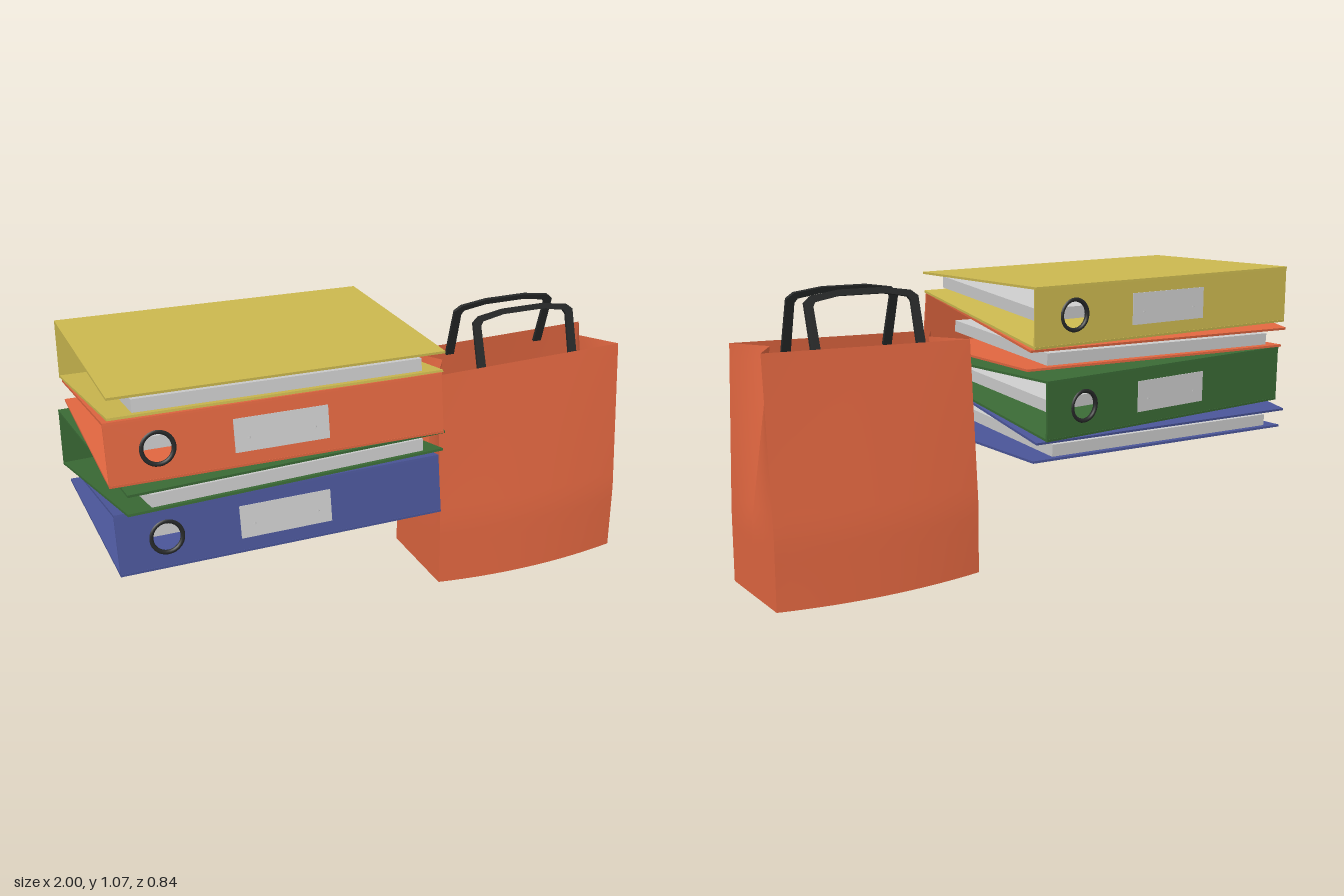
import * as THREE from 'three';

const mat = (color, side = THREE.FrontSide) => new THREE.MeshStandardMaterial({ color, side });
const GREY = mat(0xcccccc);
const BLACK = mat(0x262828);
const LEN = 1.12; // binder length
const T = 0.008;  // board thickness

function add(parent, name, geo, material) {
  const m = new THREE.Mesh(geo, material);
  m.name = name;
  parent.add(m);
  return m;
}

// Flat board running between two (z, y) points
function plank(parent, name, [z1, y1], [z2, y2], thick, length, material) {
  const dz = z1 - z2, dy = y1 - y2;
  const m = add(parent, name, new THREE.BoxGeometry(length, thick, Math.hypot(dz, dy)), material);
  m.position.set(0, (y1 + y2) / 2, (z1 + z2) / 2);
  m.rotation.x = Math.atan2(-dy, dz);
  return m;
}

// Ring binder lying on its back cover, spine towards +z
function makeBinder(name, color) {
  const g = new THREE.Group();
  g.name = name;
  const board = mat(color);
  plank(g, 'bottomCover', [0.375, T / 2], [-0.375, T / 2], T, LEN, board);
  plank(g, 'topCover', [0.347, 0.2], [-0.395, 0.07], T, LEN, board);
  plank(g, 'paperStack', [0.26, 0.078], [-0.375, 0.035], 0.042, 0.965, GREY);

  // Tilted spine with finger hole, label and rings
  const spine = new THREE.Group();
  spine.name = 'spine';
  spine.position.set(0, 0, 0.375);
  spine.rotation.x = -0.149;
  g.add(spine);
  const h = 0.203, holeX = -0.4, holeY = 0.103;
  const s = new THREE.Shape();
  s.moveTo(-LEN / 2, 0).lineTo(LEN / 2, 0).lineTo(LEN / 2, h).lineTo(-LEN / 2, h).closePath();
  s.holes.push(new THREE.Path().absarc(holeX, holeY, 0.05, 0, Math.PI * 2, true));
  const panel = new THREE.ExtrudeGeometry(s, { depth: T, bevelEnabled: false, curveSegments: 16 });
  panel.translate(0, 0, -T);
  add(spine, 'spinePanel', panel, board);
  const rim = add(spine, 'fingerHoleRim', new THREE.TorusGeometry(0.052, 0.008, 8, 28), BLACK);
  rim.position.set(holeX, holeY, -T / 2);
  const label = add(spine, 'label', new THREE.BoxGeometry(0.315, 0.11, 0.003), GREY);
  label.position.set(0, holeY, 0.001);
  const plate = add(spine, 'ringPlate', new THREE.BoxGeometry(0.36, 0.09, 0.014), GREY);
  plate.position.set(0, 0.09, -T - 0.007);
  for (const x of [-0.11, 0.11]) {
    const ring = add(spine, 'ring', new THREE.TorusGeometry(0.066, 0.008, 6, 6), GREY);
    ring.rotation.y = Math.PI / 2;
    ring.position.set(x, 0.092, -0.068);
  }
  return g;
}

// Smooth patch, u and v both run from 0 to 1
function patch(fn, nu, nv) {
  const pos = [], idx = [];
  for (let j = 0; j <= nv; j++)
    for (let i = 0; i <= nu; i++) pos.push(...fn(i / nu, j / nv));
  for (let j = 0; j < nv; j++)
    for (let i = 0; i < nu; i++) {
      const a = j * (nu + 1) + i, b = a + 1, c = a + nu + 1, d = c + 1;
      idx.push(a, b, d, a, d, c);
    }
  const geo = new THREE.BufferGeometry();
  geo.setAttribute('position', new THREE.Float32BufferAttribute(pos, 3));
  geo.setIndex(idx);
  geo.computeVertexNormals();
  return geo;
}

function makeBag() {
  const bag = new THREE.Group();
  bag.name = 'shoppingBag';
  const paper = mat(0xe06640, THREE.DoubleSide);
  const W = 0.374;
  // p, q in -1..1 across width and depth, v is the height fraction
  const depth = (p, v) => 0.135 + 0.05 * Math.min(1, (1 - v) / 0.7) + 0.024 * (1 - p * p) * (1 - v);
  const floorY = (p, q) => 0.048 * (1 - (1 - p * p) * (1 - 0.85 * Math.abs(q)));
  const height = (p, q, v) => THREE.MathUtils.lerp(floorY(p, q), 0.865 + 0.006 * p, v);
  const gusset = (v) => 0.085 * Math.max(0, (v - 0.3) / 0.7);

  for (const s of [1, -1]) {
    // Wide panels
    add(bag, s > 0 ? 'frontPanel' : 'backPanel', patch((u, v) => {
      const p = (u * 2 - 1) * s;
      return [W * p, height(p, s, v), s * depth(p, v)];
    }, 16, 16), paper);
    // Side panels folding inwards towards the top, one half each side of the crease
    for (const k of [1, -1])
      add(bag, s > 0 ? 'leftGusset' : 'rightGusset', patch((u, v) => {
        const a = s * k > 0 ? 1 - u : u;
        const q = k * a;
        return [s * (W - gusset(v) * (1 - a)), height(s, q, v), q * depth(1, v)];
      }, 4, 16), paper);
  }
  // Sagging bottom, creased along the middle
  for (const k of [1, -1])
    add(bag, 'bagBottom', patch((u, v) => {
      const p = (u * 2 - 1) * k;
      return [W * p, floorY(p, v), k * v * depth(p, 0)];
    }, 16, 6), paper);

  // Flat strap handles leaning towards each other
  const o = new THREE.Shape();
  o.moveTo(-0.205, -0.03).lineTo(-0.205, 0.165).lineTo(-0.18, 0.185).lineTo(-0.08, 0.2)
    .lineTo(0.08, 0.2).lineTo(0.18, 0.185).lineTo(0.205, 0.165).lineTo(0.205, -0.03)
    .lineTo(0.172, -0.03).lineTo(0.175, 0.15).lineTo(0.165, 0.165).lineTo(0.08, 0.18)
    .lineTo(-0.08, 0.18).lineTo(-0.165, 0.165).lineTo(-0.175, 0.15).lineTo(-0.172, -0.03).closePath();
  const strap = new THREE.ExtrudeGeometry(o, { depth: 0.011, bevelEnabled: false });
  strap.translate(0, 0, -0.0055);
  for (const s of [1, -1]) {
    const handle = add(bag, s > 0 ? 'frontHandle' : 'backHandle', strap, BLACK);
    handle.position.set(-0.005, 0.853, s * 0.12);
    handle.rotation.x = -s * 0.3;
  }
  bag.position.set(0.624, 0, -0.005);
  return bag;
}

export function createModel() {
  const model = new THREE.Group();
  model.name = 'bindersAndBag';
  // Stack alternates spine direction: name, color, y, z, yaw, tilt, roll
  const stack = [
    ['blueBinder', 0x4a5598, 0.46, 0, 0, 0, 0],
    ['greenBinder', 0x3a6a35, 0.61, 0, Math.PI + 0.08, 0.174, 0.016],
    ['orangeBinder', 0xe06640, 0.768, 0.008, -0.025, 0, 0],
    ['yellowBinder', 0xcbb84f, 0.915, -0.01, Math.PI + 0.005, 0.168, 0.016],
  ];
  for (const [name, color, y, z, yaw, tilt, roll] of stack) {
    const b = makeBinder(name, color);
    b.position.set(-0.412, y, z);
    b.rotation.set(tilt, yaw, roll, 'YXZ');
    model.add(b);
  }
  model.add(makeBag());
  return model;
}
